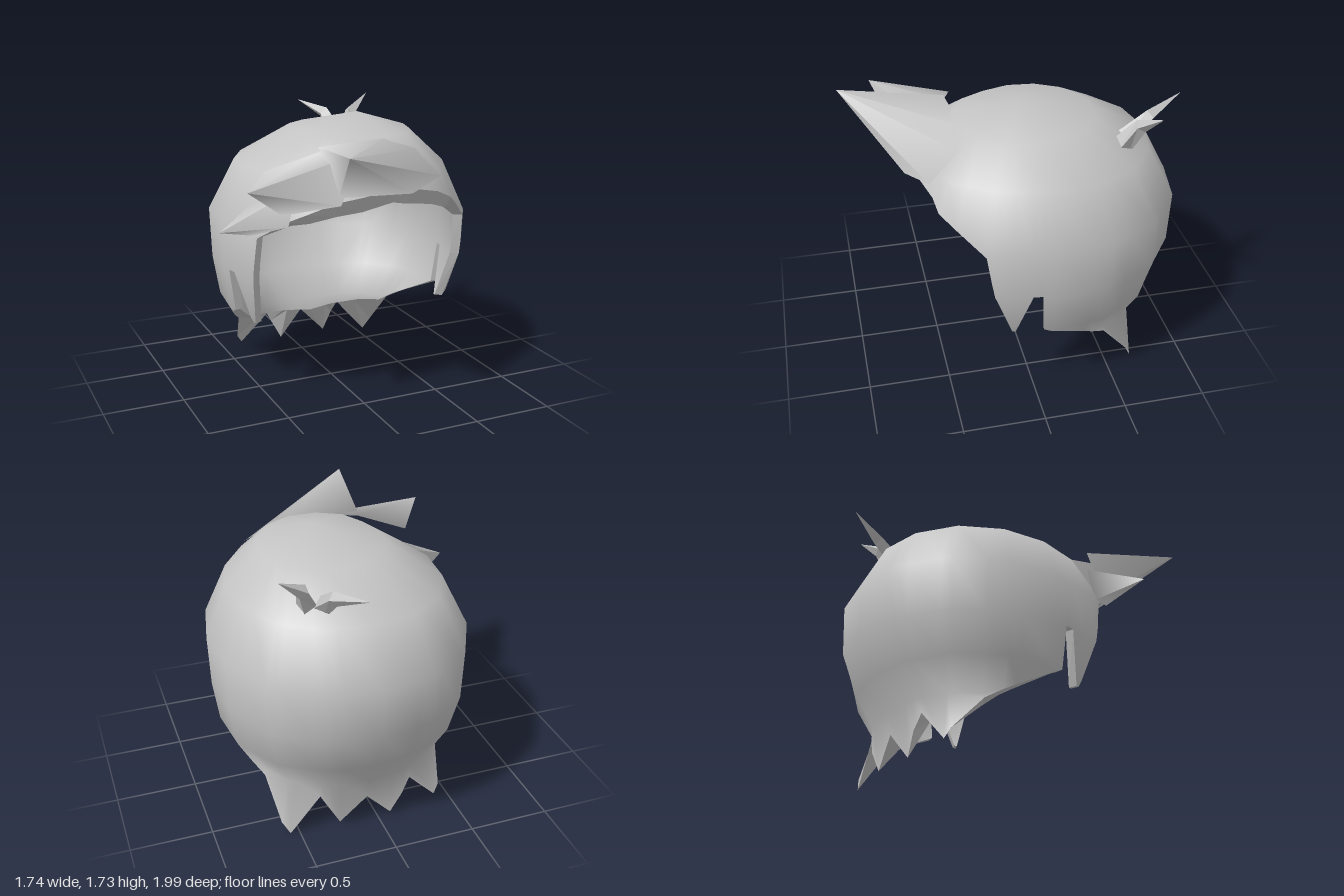
import * as THREE from 'three';

const hair = new THREE.MeshStandardMaterial({ color: 0xc4c4c4 });
hair.name = 'hairGrey';

const TOP = 1.72;
const { lerp, smoothstep, degToRad: rad } = THREE.MathUtils;

// Piecewise linear lookup in rows of [key, value] with rising keys
function lookup(rows, key, col = 1) {
  for (let i = 1; i < rows.length; i++) {
    const a = rows[i - 1], b = rows[i];
    if (key <= b[0]) return lerp(a[col], b[col], Math.max(0, (key - a[0]) / (b[0] - a[0])));
  }
  return rows[rows.length - 1][col];
}

// Head profile: height, radius factor, extra radius at the sides
const profile = [[0, 0.64, 0.46], [0.34, 0.725, 0.08], [0.53, 0.86, 0.08], [0.78, 0.985, 0], [1.1, 1, 0],
  [1.42, 0.82, 0], [1.62, 0.48, 0], [TOP, 0, 0]];

// Hem height by angle around the head (0 = front, + = model's left)
const side = [[58, 1.07], [61, 0.8], [66.5, 0.49], [68, 0.49], [76, 0.8], [80, 0.8], [80.3, 0.53],
  [101.5, 0.4], [117, 0.31]];
const hem = [
  [-180, 0.2], [-163, 0.02], [-151, 0.25], [-136, 0.05],
  ...side.map(([a, y]) => [-a, y]).reverse(),
  [-45, 1.15], [-24, 1.21], [5, 1.27], [29, 1.22], [45, 1.15],
  ...side,
  [137, 0], [151, 0.25], [163, 0.03], [180, 0.2],
];

const brow = (a) => smoothstep(Math.cos(rad(a)), 0.5, 1);

// Point on the head at angle a and height y; inner = lining of the shell
function headPoint(a, y, inner) {
  const s = Math.sin(rad(a)), c = Math.cos(rad(a)), w = brow(a);
  y = Math.min(y, TOP);
  const yy = y - 0.14 * w * Math.min(1, (TOP - y) / 0.35);
  const t = Math.max(0, (yy - 1.1) / 0.62), lean = t ** 3;
  const f = lookup(profile, yy, 1) + lookup(profile, yy, 2) * s * s;
  const bulge = 1 + (c > 0 ? 0.06 : 0.025) * (1 - t) * (2 * s * c) ** 2;
  // The lining pulls forward toward the nape
  const nape = Math.max(0, -c) * (1 - smoothstep(y, 0.2, 0.95));
  const k = f * bulge * (inner ? 0.93 - 0.05 * w - 0.24 * nape : 1);
  return new THREE.Vector3(
    0.085 + 0.1 * lean + s * 0.785 * k,
    y - (inner ? 0.08 * t * t : 0),
    -0.16 + 0.14 * lean + c * (c > 0 ? 0.84 : 0.82) * k);
}

// Same point on the fifteen-sided head, whose corners lie 24 degrees apart
function facetPoint(a, y, inner) {
  const n = Math.min(14, Math.floor((a + 180) / 24)), a0 = n * 24 - 180;
  return headPoint(a0, y, inner).lerp(headPoint(a0 + 24, y, inner), (a - a0) / 24);
}

function headNormal(a, y, inner) {
  if (y > TOP - 0.001) return new THREE.Vector3(0, 1, 0);
  const du = headPoint(a + 6, y, inner).sub(headPoint(a - 6, y, inner));
  const dv = headPoint(a, y + 0.1, inner).sub(headPoint(a, y - 0.1, inner));
  return du.cross(dv).normalize();
}

// Columns: the head's corners plus every corner of the hem
const angles = [...new Set([...hem.map((h) => h[0]), ...Array.from({ length: 16 }, (_, i) => i * 24 - 180)])]
  .sort((p, q) => p - q);
const heights = profile.map((p) => p[0]).reverse();
const outerEdge = (a) => lookup(hem, a) + 0.1 * brow(a);
const innerEdge = (a) => {
  const y = lookup(hem, a), b = Math.abs(a);
  return b > 117 ? Math.max(y, lerp(0.31, 0.25, (b - 117) / 63)) : y;
};

function gridIndex(rows, cols, flip) {
  const index = [];
  for (let j = 0; j < rows - 1; j++) for (let i = 0; i < cols - 1; i++) {
    const p = j * cols + i, q = p + cols;
    if (flip) index.push(p, q + 1, q, p, p + 1, q + 1);
    else index.push(p, q, q + 1, p, q + 1, p + 1);
  }
  return index;
}

function shell(inner) {
  const pos = [], nor = [];
  for (const h of heights) for (const a of angles) {
    const y = Math.max(h, inner ? innerEdge(a) : outerEdge(a));
    pos.push(...facetPoint(a, y, inner).toArray());
    nor.push(...headNormal(a, y, inner).multiplyScalar(inner ? -1 : 1).toArray());
  }
  const g = new THREE.BufferGeometry();
  g.setAttribute('position', new THREE.Float32BufferAttribute(pos, 3));
  g.setAttribute('normal', new THREE.Float32BufferAttribute(nor, 3));
  g.setIndex(gridIndex(heights.length, angles.length, inner));
  return g;
}

function flat(pos, index) {
  const g = new THREE.BufferGeometry();
  g.setAttribute('position', new THREE.Float32BufferAttribute(pos, 3));
  g.setIndex(index);
  const out = g.toNonIndexed();
  out.computeVertexNormals();
  return out;
}

// Underside joining the outer hem to the lining
function rim() {
  const pos = [
    ...angles.flatMap((a) => facetPoint(a, outerEdge(a), false).toArray()),
    ...angles.flatMap((a) => facetPoint(a, innerEdge(a), true).toArray()),
  ];
  return flat(pos, gridIndex(2, angles.length, false));
}

// Pointed lock: base corners counterclockwise as seen from the tip, shaded smoothly into the head
function lock(tip, base) {
  const n = base.length;
  const g = flat([...base.flat(), ...tip], base.flatMap((_, i) => [i, (i + 1) % n, n]));
  const v = new THREE.Vector3(), centre = new THREE.Vector3(0.085, 1.1, -0.16);
  for (let i = 0; i < n * 3; i++) {
    if (i % 3 === 2) continue;
    v.fromBufferAttribute(g.attributes.position, i).sub(centre).normalize();
    g.attributes.normal.setXYZ(i, v.x, v.y, v.z);
  }
  return g;
}

// Bent four-sided horn through base, bend and tip
function horn(base, bend, tip) {
  const pts = [base, bend, tip].map((p) => new THREE.Vector3(...p));
  const pos = [];
  pts.forEach((p, j) => {
    const dir = pts[Math.min(j + 1, 2)].clone().sub(pts[Math.max(j - 1, 0)]).normalize();
    const u = new THREE.Vector3(0, 1, 0).cross(dir).normalize();
    const v = dir.clone().cross(u);
    const r = [0.065, 0.042, 0.001][j];
    for (let i = 0; i <= 4; i++) {
      const a = -i * Math.PI / 2;
      pos.push(...p.clone().addScaledVector(u, r * Math.cos(a)).addScaledVector(v, r * Math.sin(a)).toArray());
    }
  });
  return flat(pos, gridIndex(3, 5, false));
}

export function createModel() {
  const group = new THREE.Group();
  group.name = 'hair';
  const add = (name, geometry) => {
    const mesh = new THREE.Mesh(geometry, hair);
    mesh.name = name;
    group.add(mesh);
  };
  add('outerHair', shell(false));
  add('innerLining', shell(true));
  add('hemRim', rim());

  // Fringe swept toward the model's right; corners run top inner, top outer, low outer, low inner
  add('upperFringeLock', lock([-0.34, 1.645, 0.995],
    [[0.46, 1.4, 0.56], [0.38, 1.54, 0.38], [0.21, 1.61, 0.33], [-0.24, 1.59, 0.36],
      [-0.22, 1.34, 0.6], [0.21, 1.34, 0.67]]));
  add('middleFringeLock', lock([-0.82, 1.46, 0.765],
    [[0, 1.56, 0.46], [-0.24, 1.56, 0.36], [-0.54, 1.46, 0.28], [-0.5, 1.23, 0.44], [-0.22, 1.3, 0.63]]));
  add('lowerFringeLock', lock([-0.875, 1.17, 0.44],
    [[-0.4, 1.38, 0.43], [-0.56, 1.32, 0.26], [-0.62, 1.08, 0.26], [-0.48, 1.17, 0.48]]));

  // Two stray tufts at the back of the crown
  add('backTuft', horn([0.32, 1.45, -0.57], [0.3, 1.6, -0.77], [0.19, 1.67, -0.995]));
  add('sideTuft', horn([0.39, 1.46, -0.57], [0.45, 1.62, -0.67], [0.6, 1.725, -0.74]));
  return group;
}
